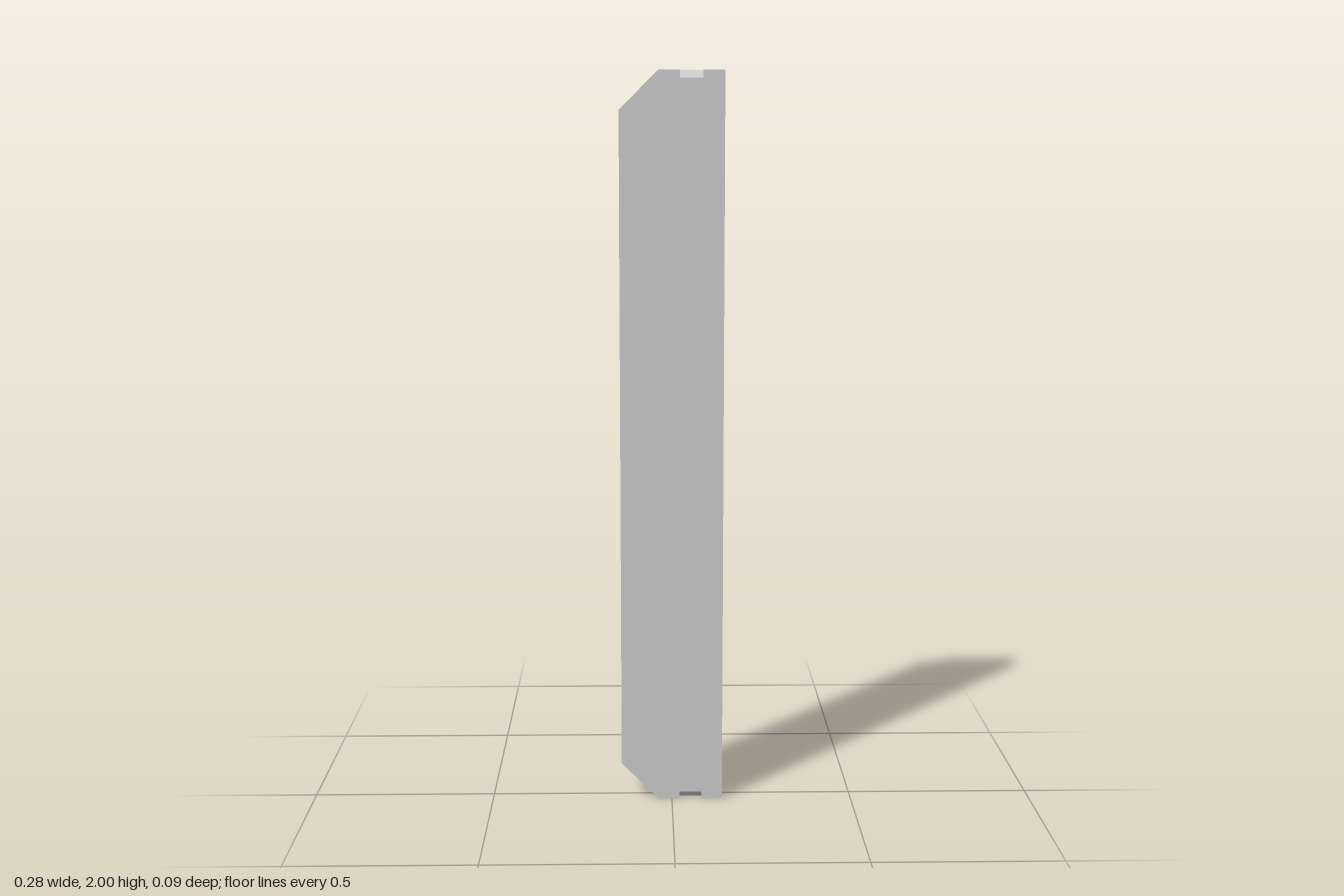
import * as THREE from 'three';

const H = 2, W = 0.14, D = 0.045;      // height, half width, half depth
const CUT = 0.104;                     // cut corners on the -x edge
const N0 = 0.021, N1 = 0.083;          // notch span in x
const NOTCH = 0.02, INNER = 0.0235;    // notch height, z where its slope ends

// Upright plank; the sloped notches run out towards the middle of its depth
function plankGeometry() {
  const outline = [
    [-W + CUT, 0], [N0, 0], [N0, NOTCH], [N1, NOTCH], [N1, 0], [W, 0],
    [W, H], [N1, H], [N1, H - NOTCH], [N0, H - NOTCH], [N0, H], [-W + CUT, H],
    [-W, H - CUT], [-W, CUT],
  ].map(([x, y]) => new THREE.Vector2(x, y));

  const geometry = new THREE.ExtrudeGeometry(new THREE.Shape(outline), {
    depth: 3, steps: 3, bevelEnabled: false,
  });

  // Place the four rings in depth and close the notches on the two inner rings
  const rings = [-D, -INNER, INNER, D];
  const pos = geometry.attributes.position;
  for (let i = 0; i < pos.count; i++) {
    const ring = Math.round(pos.getZ(i));
    const y = pos.getY(i);
    pos.setZ(i, rings[ring]);
    if (ring === 1 || ring === 2) {
      if (Math.abs(y - NOTCH) < 1e-4) pos.setY(i, 0);
      if (Math.abs(y - (H - NOTCH)) < 1e-4) pos.setY(i, H);
    }
  }
  geometry.computeVertexNormals();
  return geometry;
}

export function createModel() {
  const group = new THREE.Group();
  group.name = 'notchedPlank';
  const material = new THREE.MeshStandardMaterial({ color: 0xcccccc, flatShading: true });
  const plank = new THREE.Mesh(plankGeometry(), material);
  plank.name = 'plank';
  group.add(plank);
  return group;
}
